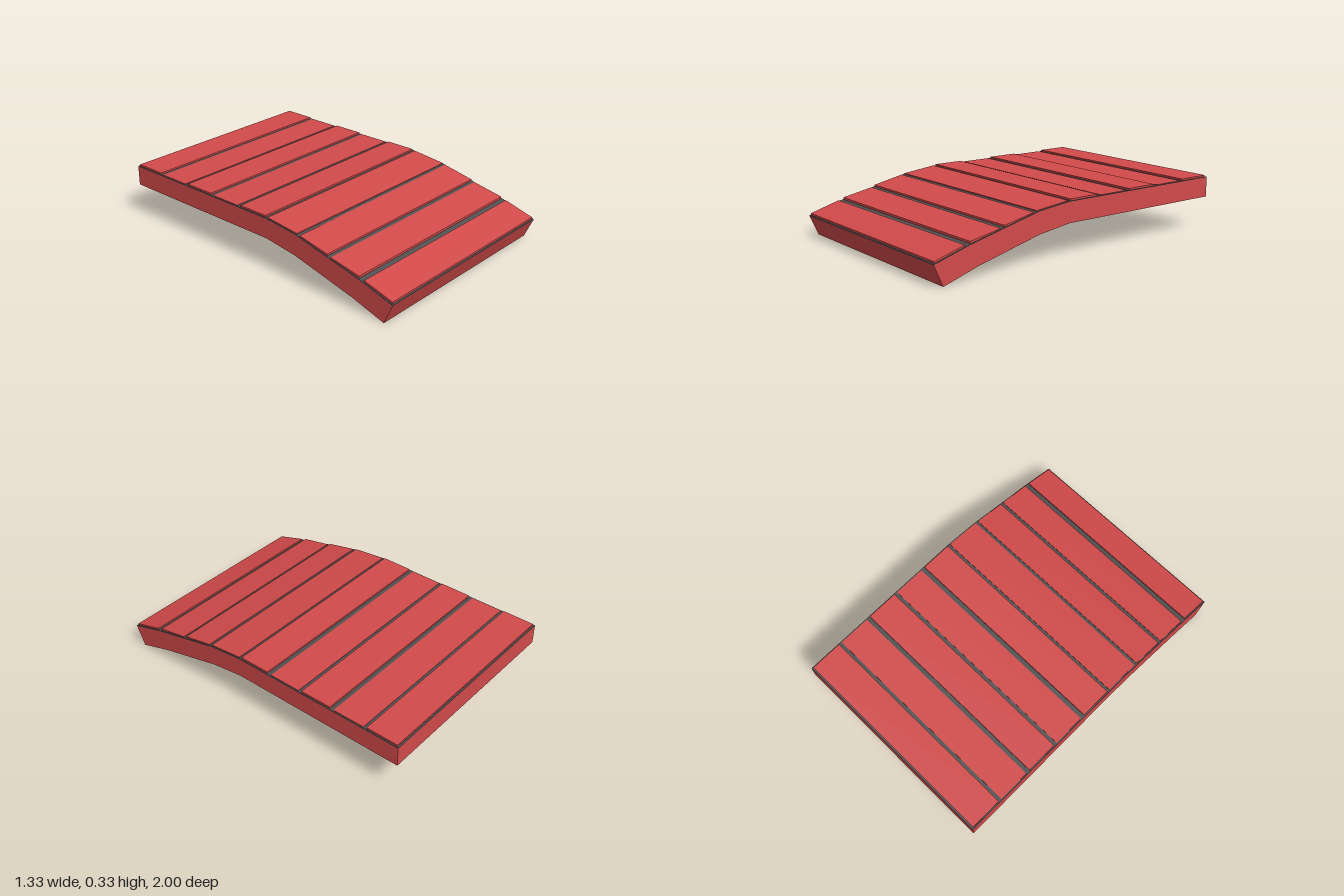
import * as THREE from 'three';

const red = new THREE.MeshStandardMaterial({ color: 0xd24a4a, flatShading: true });
const dark = new THREE.MeshStandardMaterial({ color: 0x505050, flatShading: true });

// Side profiles as [z, y], front to back
const deckLine = [[1, 0.125], [0.78, 0.19], [0.32, 0.3], [0.11, 0.323], [-1, 0.323]];
const underside = [[0.945, 0], [0.73, 0.068], [0.32, 0.17], [0.11, 0.2], [-1, 0.2]];
const DECK = 0.003;

// Closed slab between an upper and a lower [z, y] line, extruded across x
function slab(name, upper, lower, width, material) {
  const outline = [...upper, ...[...lower].reverse()].map(([z, y]) => new THREE.Vector2(z, y));
  const geometry = new THREE.ExtrudeGeometry(new THREE.Shape(outline), { depth: width, bevelEnabled: false });
  geometry.translate(0, 0, -width / 2).rotateY(-Math.PI / 2);
  const mesh = new THREE.Mesh(geometry, material);
  mesh.name = name;
  return mesh;
}

const drop = (line, d) => line.map(([z, y]) => [z, y - d]);

export function createModel() {
  const group = new THREE.Group();
  group.name = 'slopedRamp';

  // Curved body with a thin dark deck on top
  const bodyTop = drop(deckLine, DECK);
  group.add(slab('body', bodyTop, underside, 1.33, red));
  group.add(slab('deck', deckLine, bodyTop, 1.33, dark));

  // Planks: front z, front y, back z, back y of the top face
  const planks = [
    [0.992, 0.138, 0.805, 0.192],
    [0.772, 0.205, 0.575, 0.243],
    [0.553, 0.255, 0.355, 0.296],
    [0.335, 0.302, 0.115, 0.327],
    [0.097, 0.333, -0.098, 0.333],
    [-0.125, 0.326, -0.325, 0.326],
    [-0.347, 0.333, -0.545, 0.333],
    [-0.57, 0.326, -0.77, 0.326],
    [-0.79, 0.333, -0.99, 0.333],
  ];
  planks.forEach(([z0, y0, z1, y1], i) => {
    const top = [[z0, y0], [z1, y1]];
    group.add(slab(`plank${i + 1}`, top, drop(top, 0.02), 1.315, red));
  });

  return group;
}
